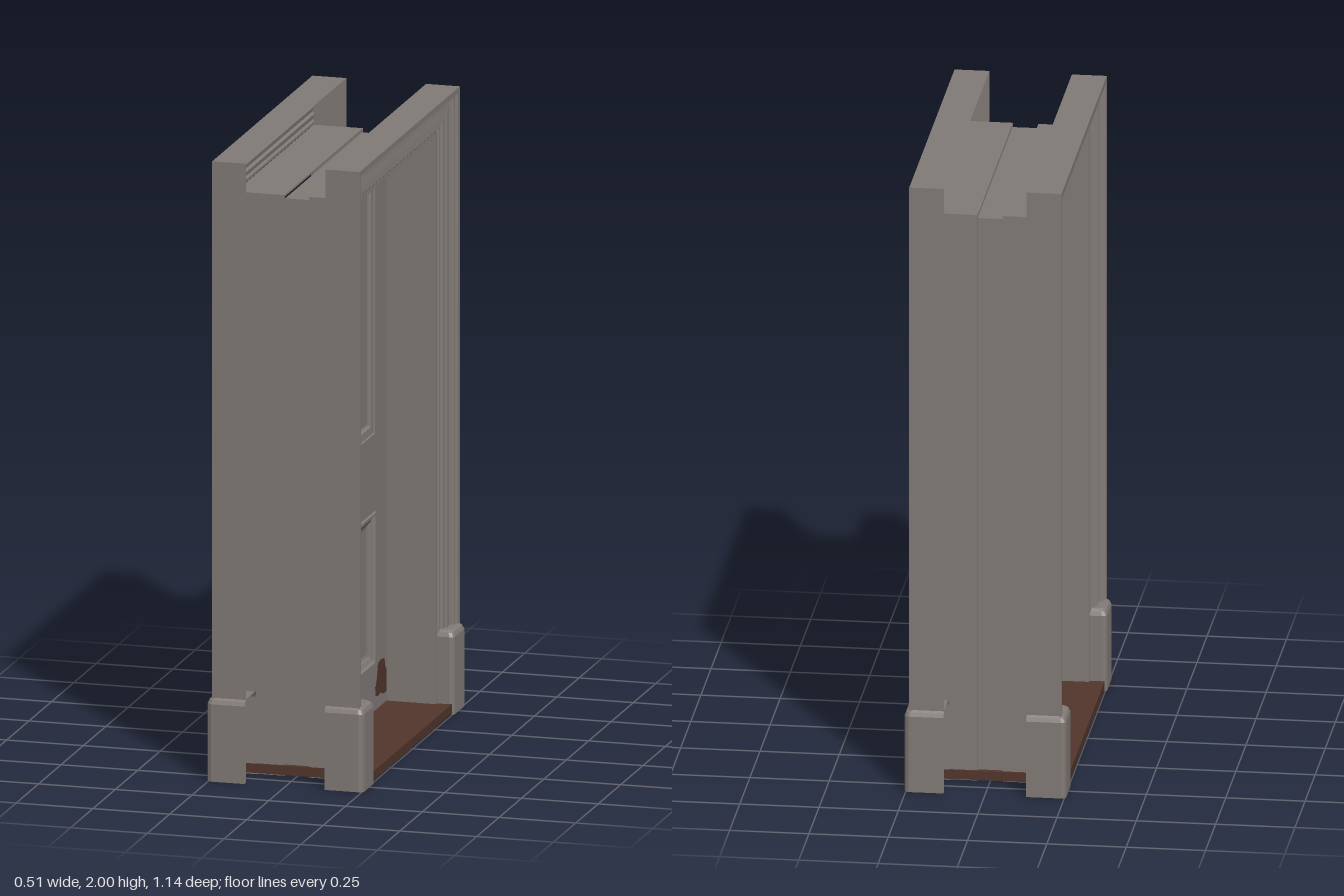
import * as THREE from 'three';

const paint = new THREE.MeshStandardMaterial({ color: 0x827b77, side: THREE.DoubleSide });
paint.name = 'grey paint';
const wood = new THREE.MeshStandardMaterial({ color: 0x52362c, side: THREE.DoubleSide });
wood.name = 'brown wood';

function add(parent, name, geometry, material, x = 0, y = 0, z = 0) {
  const mesh = new THREE.Mesh(geometry, material);
  mesh.name = name;
  mesh.position.set(x, y, z);
  parent.add(mesh);
  return mesh;
}

// Box from minimum and maximum corners
function box(parent, name, material, [x0, y0, z0], [x1, y1, z1]) {
  const geometry = new THREE.BoxGeometry(x1 - x0, y1 - y0, z1 - z0);
  return add(parent, name, geometry, material, (x0 + x1) / 2, (y0 + y1) / 2, (z0 + z1) / 2);
}

// Skin flat quads between successive rows of points
function loft(rows) {
  const pos = [];
  for (let i = 0; i < rows.length - 1; i++) {
    for (let j = 0; j < rows[i].length - 1; j++) {
      const [a, b, c, d] = [rows[i][j], rows[i + 1][j], rows[i + 1][j + 1], rows[i][j + 1]];
      pos.push(...a, ...b, ...c, ...a, ...c, ...d);
    }
  }
  const geometry = new THREE.BufferGeometry();
  geometry.setAttribute('position', new THREE.Float32BufferAttribute(pos, 3));
  geometry.computeVertexNormals();
  return geometry;
}

// Architrave: moulded profile [distance from centre, x] mitred round the opening
function casingGeometry() {
  const profile = [
    [0.56, 0.13], [0.56, 0.24], [0.542, 0.24], [0.538, 0.23], [0.526, 0.232], [0.522, 0.222],
    [0.512, 0.217], [0.486, 0.222], [0.482, 0.212], [0.468, 0.214], [0.464, 0.204],
    [0.45, 0.206], [0.444, 0.2], [0.436, 0.2],
  ];
  return loft(profile.map(([u, x]) =>
    [[x, 0, u], [x, u + 1.44, u], [x, u + 1.44, -u], [x, 0, -u]]));
}

// Plinth block: open-backed shell with softened edges, drawn on the +z side
function plinthGeometry() {
  const section = (y, s) => {
    const z0 = 0.442 + s, z1 = 0.572 - s, x = 0.255 - s, r = 0.014;
    return [[0.13, y, z0], [x - r, y, z0], [x - r * 0.3, y, z0 + r * 0.3], [x, y, z0 + r],
      [x, y, z1 - r], [x - r * 0.3, y, z1 - r * 0.3], [x - r, y, z1], [0.13, y, z1]];
  };
  const top = section(0.27, 0.014);
  const middle = top.map(([x, y]) => [x, y, 0.507]);
  return loft([section(0, 0), section(0.25, 0), section(0.263, 0.005), top, middle]);
}

// Door panels: half width, bottom, top and moulding profile [inset, x]
const panels = [
  { name: 'upper', w: 0.3, y0: 0.93, y1: 1.75,
    profile: [[0, 0.04], [0.003, 0.036], [0.026, 0.034], [0.03, 0.027], [0.036, 0.024]] },
  { name: 'lower', w: 0.3, y0: 0.18, y1: 0.68,
    profile: [[0, 0.04], [0.004, 0.045], [0.013, 0.045], [0.018, 0.038], [0.032, 0.031], [0.036, 0.027], [0.046, 0.024]] },
];

function rectangle(PathType, w, y0, y1) {
  const path = new PathType();
  path.moveTo(-w, y0);
  path.lineTo(w, y0);
  path.lineTo(w, y1);
  path.lineTo(-w, y1);
  path.closePath();
  return path;
}

// Turn an outline drawn in the z-y plane into a slab along x
function slab(shape, depth) {
  return new THREE.ExtrudeGeometry(shape, { depth, bevelEnabled: false }).rotateY(Math.PI / 2);
}

function leverHandle() {
  const handle = new THREE.Group();
  handle.name = 'leverHandle';
  const points = [[0, 0.038], [0.035, 0.038], [0.035, 0.046], [0.03, 0.051], [0.014, 0.053],
    [0.011, 0.08], [0.018, 0.086], [0.018, 0.106], [0.014, 0.112], [0, 0.112]];
  const turned = new THREE.LatheGeometry(points.map(p => new THREE.Vector2(...p)), 24);
  turned.rotateZ(-Math.PI / 2);
  add(handle, 'roseAndSpindle', turned, paint);
  const lever = new THREE.CapsuleGeometry(0.008, 0.105, 6, 12).rotateX(Math.PI / 2);
  add(handle, 'lever', lever, paint, 0.097, 0, -0.06);
  handle.position.set(0, 0.82, 0.365);
  return handle;
}

// Everything that repeats on both faces of the doorway
function doorwaySide(name) {
  const side = new THREE.Group();
  side.name = name;
  add(side, 'casing', casingGeometry(), paint);
  const plinth = plinthGeometry();
  for (const s of [1, -1]) {
    add(side, 'plinthBlock', plinth, paint).scale.z = s;
    const inner = s * 0.431, outer = s * 0.437;
    box(side, 'jambLining', paint, [0.04, 0, Math.min(inner, outer)], [0.2, 1.875, Math.max(inner, outer)]);
  }
  box(side, 'headLining', paint, [0.04, 1.869, -0.431], [0.2, 1.875, 0.431]);
  for (const { name: label, w, y0, y1, profile } of panels) {
    add(side, label + 'PanelMoulding', loft(profile.map(([u, x]) => [
      [x, y0 + u, u - w], [x, y0 + u, w - u], [x, y1 - u, w - u], [x, y1 - u, u - w], [x, y0 + u, u - w],
    ])), paint);
    const inset = profile.at(-1)[0];
    box(side, label + 'Panel', paint, [0.012, y0 + inset, inset - w], [0.024, y1 - inset, w - inset]);
  }
  side.add(leverHandle());
  return side;
}

export function createModel() {
  const model = new THREE.Group();
  model.name = 'panelledDoorway';

  // Door leaf with openings for the recessed panels
  const leaf = rectangle(THREE.Shape, 0.431, 0.035, 1.863);
  for (const { w, y0, y1 } of panels) leaf.holes.push(rectangle(THREE.Path, w, y0, y1));
  add(model, 'doorLeaf', slab(leaf, 0.08), paint, -0.04);

  // Two mirrored faces
  const near = doorwaySide('leftSide');
  const far = doorwaySide('rightSide');
  far.scale.x = -1;
  model.add(near, far);

  // Sill
  box(model, 'threshold', wood, [-0.248, 0.004, -0.444], [0.248, 0.034, 0.444]);

  // Worn patch of bare wood at the foot of the door
  const outline = [[0.3, 0.11], [0.305, 0.08], [0.33, 0.075], [0.36, 0.08], [0.385, 0.068],
    [0.42, 0.068], [0.421, 0.14], [0.405, 0.155], [0.4, 0.18], [0.36, 0.185], [0.33, 0.178], [0.318, 0.14]];
  const patch = new THREE.Shape(outline.map(p => new THREE.Vector2(...p)));
  add(model, 'wornPatch', slab(patch, 0.002), wood, 0.0395);
  return model;
}
